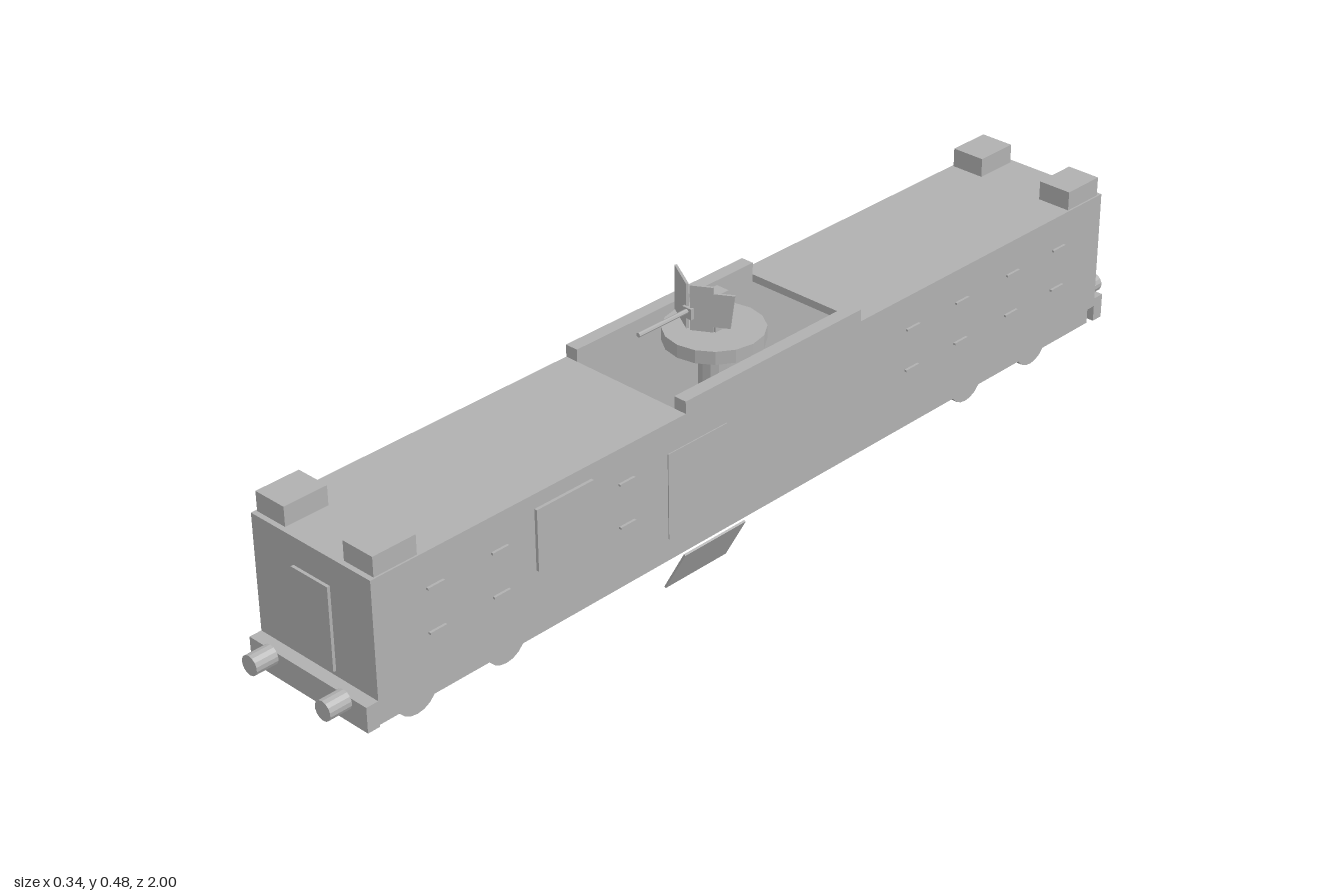
import * as THREE from 'three';

const CX = -0.018; // centre line of the wagon

export function createModel() {
  const root = new THREE.Group();
  const grey = new THREE.MeshStandardMaterial({ color: 0xb0b0b0 });
  grey.name = 'plainGrey';

  const add = (name, geo, x, y, z) => {
    const m = new THREE.Mesh(geo, grey);
    m.name = name;
    m.position.set(x, y, z);
    root.add(m);
    return m;
  };
  // box given by its limits
  const box = (name, x0, x1, y0, y1, z0, z1) =>
    add(name, new THREE.BoxGeometry(x1 - x0, y1 - y0, z1 - z0), (x0 + x1) / 2, (y0 + y1) / 2, (z0 + z1) / 2);
  // cylinder lying along x or z, or standing along y
  const cyl = (name, axis, r, len, sides, x, y, z) => {
    const g = new THREE.CylinderGeometry(r, r, len, sides).toNonIndexed();
    g.computeVertexNormals();
    if (axis === 'x') g.rotateZ(Math.PI / 2);
    if (axis === 'z') g.rotateX(Math.PI / 2);
    return add(name, g, x, y, z);
  };

  // underframe and hollow armoured body
  box('underframe', -0.149, 0.112, 0.057, 0.101, -0.93, 0.93);
  for (const s of [-1, 1]) {
    const outer = CX + s * 0.145, inner = CX + s * 0.118;
    const [a, b] = [Math.min(outer, inner), Math.max(outer, inner)];
    box('sideWall', a, b, 0.1, 0.345, -0.93, 0.93);
    box('pitRail', a, b, 0.345, 0.369, -0.225, 0.225);
  }
  for (const s of [-1, 1]) {
    const zBox = (name, x0, x1, y0, y1, za, zb) =>
      box(name, x0, x1, y0, y1, Math.min(s * za, s * zb), Math.max(s * za, s * zb));
    zBox('endWall', -0.136, 0.1, 0.1, 0.345, 0.905, 0.93);
    zBox('roof', -0.136, 0.1, 0.33, 0.345, 0.225, 0.905);
    zBox('bufferBeam', -0.163, 0.127, 0.067, 0.117, 0.93, 0.955);
    zBox('endDoor', -0.063, 0.026, 0.127, 0.29, 0.93, 0.936);

    for (const t of [-1, 1]) {
      // roof corner boxes, buffers and running gear
      const bx = CX + t * 0.1065;
      zBox('roofBox', bx - 0.035, bx + 0.035, 0.345, 0.383, 0.83, 0.92);
      cyl('buffer', 'z', 0.019, 0.045, 14, CX + t * 0.091, 0.108, s * 0.9775);
      const ax = CX + t * 0.1;
      zBox('bogieBar', ax - 0.01, ax + 0.01, 0.045, 0.058, 0.57, 0.84);
      for (const z of [0.605, 0.805])
        cyl('wheel', 'x', 0.046, 0.013, 20, CX + t * 0.084, 0.046, s * z);
    }
  }

  // side shutters, side door and its lowered step plate
  box('leftShutter', 0.127, 0.133, 0.198, 0.317, 0.45, 0.58);
  box('rightShutter', -0.17, -0.163, 0.198, 0.317, -0.355, -0.22);
  box('sideDoor', 0.126, 0.129, 0.115, 0.285, 0.125, 0.27);
  const step = box('stepPlate', 0.1415, 0.1455, 0.008, 0.108, 0.12, 0.272);
  step.position.y = 0.057;
  step.rotation.z = -0.5;

  // vision slit hoods along both sides
  for (const s of [-1, 1])
    for (const z of [-0.8, -0.66, -0.51, -0.37, 0.37, 0.66, 0.8])
      for (const y of [0.19, 0.275]) {
        const x = CX + s * 0.147;
        box('slitHood', x - 0.003, x + 0.003, y, y + 0.004, z - 0.018, z + 0.018);
      }

  // turntable and gun
  cyl('turntablePost', 'y', 0.03, 0.25, 12, -0.02, 0.222, 0);
  cyl('turntable', 'y', 0.094, 0.026, 16, -0.02, 0.357, 0);
  box('gunPedestal', -0.036, -0.002, 0.37, 0.412, -0.016, 0.016);
  box('gunBreech', -0.034, -0.006, 0.41, 0.438, -0.022, 0.03);
  box('gunMantlet', -0.03, -0.009, 0.413, 0.434, 0.02, 0.07);
  cyl('gunBarrel', 'z', 0.0045, 0.15, 8, -0.0195, 0.4275, 0.115);

  // bent shield plates, extruded from a side outline and swept back
  const shieldPlate = (name, pts, x, z, turn) => {
    const g = new THREE.ExtrudeGeometry(
      new THREE.Shape(pts.map(([u, y]) => new THREE.Vector2(u, y))),
      { depth: 0.005, bevelEnabled: false });
    add(name, g, x, 0, z).rotation.y = turn;
  };
  shieldPlate('shieldRight', [[-0.075, 0.39], [0, 0.39], [0, 0.478], [-0.075, 0.478]], -0.022, 0.062, -0.53);
  shieldPlate('shieldLeft', [[0, 0.39], [0.042, 0.39], [0.042, 0.478], [0, 0.478]], -0.018, 0.062, 0.53);
  shieldPlate('shieldWing', [[0, 0.4], [0.033, 0.4], [0.041, 0.465], [0, 0.465]], 0.015, 0.041, 0.53);

  return root;
}
